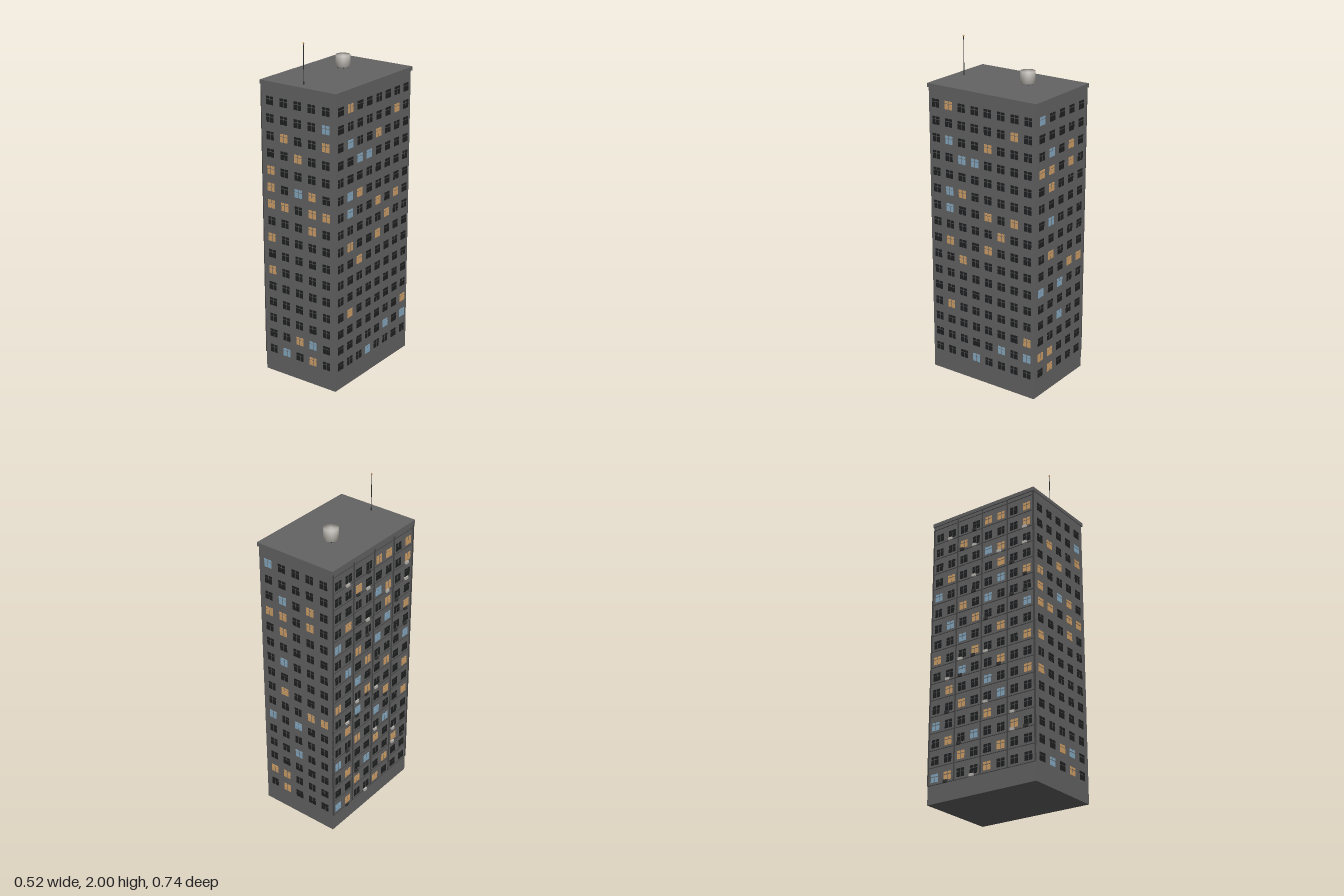
import * as THREE from 'three';
import { mergeGeometries, mergeVertices } from 'three/addons/utils/BufferGeometryUtils.js';

const paint = (name, color) => {
  const m = new THREE.MeshStandardMaterial({ color });
  m.name = name;
  return m;
};

const box = (w, h, d, x, y, z) => new THREE.BoxGeometry(w, h, d).translate(x, y, z);

// One string per storey, top to bottom: '.' dark, 'o' warm light, 'b' cool light
const FRONT = ['.....', '....b', '.o..o', '..o..', 'o....', 'o.bo.', 'oo.oo', '...o.',
  'o....', '.....', 'o....', '.....', '.....', '.....', '..ob.', '.b.o.'];
const LEFT = ['.o......', '......o.', '.b..o...', '..bb....', '........', '.bo.....', '.b..o.o.', '.....o..',
  '.o..o...', '..o.....', '........', '........', '.o......', '.......o', '.....b.b', '...b....'];
const BACK = ['b....', '.....', '.b.o.', 'oo.o.', '.o...', '.....', '.b...', '.....',
  '.o...', '...oo', 'b.b..', '.....', '..b..', '.....', 'oo...', '.o...'];
const RIGHT = ['....oo.o', '..o....o', '....bo..', '.o...o..', 'b....b.o', '..o.b...', '.b.o...b', '..b..o..',
  'o..o...o', '..b..o..', '.o..b..o', '..o..b..', 'b...o...', '.o.b..o.', '..o..o..', 'bo..o...'];

const STOREY = 0.1009, TOP_ROW = 1.659;
const rowY = r => TOP_ROW - r * STOREY;

export function createModel() {
  const mats = {
    wall: paint('concrete', 0x646464),
    seam: paint('dark seam', 0x484848),
    dark: paint('dark glass', 0x1f2021),
    warm: paint('warm light', 0xd0a068),
    cool: paint('cool light', 0x86aac2),
    light: paint('pale metal', 0xbcb8b2),
    metal: paint('dark metal', 0x333333),
  };
  const model = new THREE.Group();
  const add = (parent, name, geo, mat) => {
    const mesh = new THREE.Mesh(geo, mat);
    mesh.name = name;
    parent.add(mesh);
    return mesh;
  };

  // Tower and roof slab
  add(model, 'tower', box(0.504, 1.75, 0.726, 0.002, 0.875, 0), mats.wall);
  add(model, 'roofSlab', box(0.518, 0.023, 0.738, 0.002, 1.7565, -0.001), mats.wall);

  // Windows of four panes each; local x runs along the wall, local z points out
  const facade = (name, pattern, pitch, x, z, turn) => {
    const group = new THREE.Group();
    group.name = name;
    group.position.set(x, 0, z);
    group.rotation.y = turn;
    model.add(group);
    const panes = { '.': [], o: [], b: [] };
    pattern.forEach((line, r) => [...line].forEach((key, c) => {
      const cx = (c - (line.length - 1) / 2) * pitch;
      for (const side of [-1, 1]) {
        panes[key].push(box(0.0215, 0.014, 0.006, cx + side * 0.0135, rowY(r) + 0.017, 0));
        panes[key].push(box(0.0215, 0.030, 0.006, cx + side * 0.0135, rowY(r) - 0.009, 0));
      }
    }));
    add(group, 'darkWindows', mergeGeometries(panes['.']), mats.dark);
    add(group, 'warmWindows', mergeGeometries(panes.o), mats.warm);
    add(group, 'coolWindows', mergeGeometries(panes.b), mats.cool);
    return group;
  };
  facade('frontFacade', FRONT, 0.096, 0, 0.363, 0);
  facade('leftFacade', LEFT, 0.09, 0.254, 0, Math.PI / 2);
  facade('backFacade', BACK, 0.096, 0, -0.363, Math.PI);
  const service = facade('rightFacade', RIGHT, 0.09, -0.25, 0, -Math.PI / 2);

  // Panel seams on the service side
  const seams = [];
  for (let i = -2; i <= 2; i++) seams.push(box(0.006, 1.636, 0.012, i * 0.18, 0.927, 0));
  for (let r = 0; r <= 16; r++) seams.push(box(0.72, 0.004, 0.006, 0, rowY(r) + 0.063, 0));
  add(service, 'panelSeams', mergeGeometries(seams), mats.seam);

  // Air conditioners under some of the windows
  let seed = 11;
  const random = () => (seed = (seed * 16807) % 2147483647) / 2147483647;
  const units = { light: [], metal: [] };
  for (let r = 0; r < 16; r++) {
    for (let c = 1; c < 8; c++) {
      if (random() > 0.28) continue;
      const kind = random() < 0.5 ? 'light' : 'metal';
      units[kind].push(box(0.025, 0.016, 0.014, (c - 3.5) * 0.09 - 0.012, rowY(r) - 0.032, 0.005));
    }
  }
  add(service, 'paleAirConditioners', mergeGeometries(units.light), mats.light);
  add(service, 'darkAirConditioners', mergeGeometries(units.metal), mats.metal);

  // Water tank with softly shaded rims, on thin legs
  const tank = new THREE.Group();
  tank.name = 'waterTank';
  tank.position.set(-0.038, 1.768, -0.108);
  model.add(tank);
  const drum = new THREE.CylinderGeometry(0.043, 0.043, 0.066, 32);
  drum.deleteAttribute('normal');
  drum.deleteAttribute('uv');
  const softDrum = mergeVertices(drum);
  softDrum.computeVertexNormals();
  add(tank, 'drum', softDrum, mats.light).position.y = 0.045;
  for (const sx of [-1, 1]) {
    for (const sz of [-1, 1]) {
      add(tank, 'leg', box(0.003, 0.014, 0.003, sx * 0.02, 0.006, sz * 0.02), mats.metal);
    }
  }

  // Antenna mast with a lamp on top
  const antenna = new THREE.Group();
  antenna.name = 'antenna';
  antenna.position.set(0.002, 1.768, 0.307);
  model.add(antenna);
  add(antenna, 'mast', new THREE.CylinderGeometry(0.002, 0.002, 0.225, 8), mats.metal).position.y = 0.1125;
  add(antenna, 'base', new THREE.CylinderGeometry(0.004, 0.004, 0.016, 8), mats.metal).position.y = 0.008;
  add(antenna, 'lamp', new THREE.SphereGeometry(0.005, 10, 8), mats.warm).position.y = 0.227;

  return model;
}
